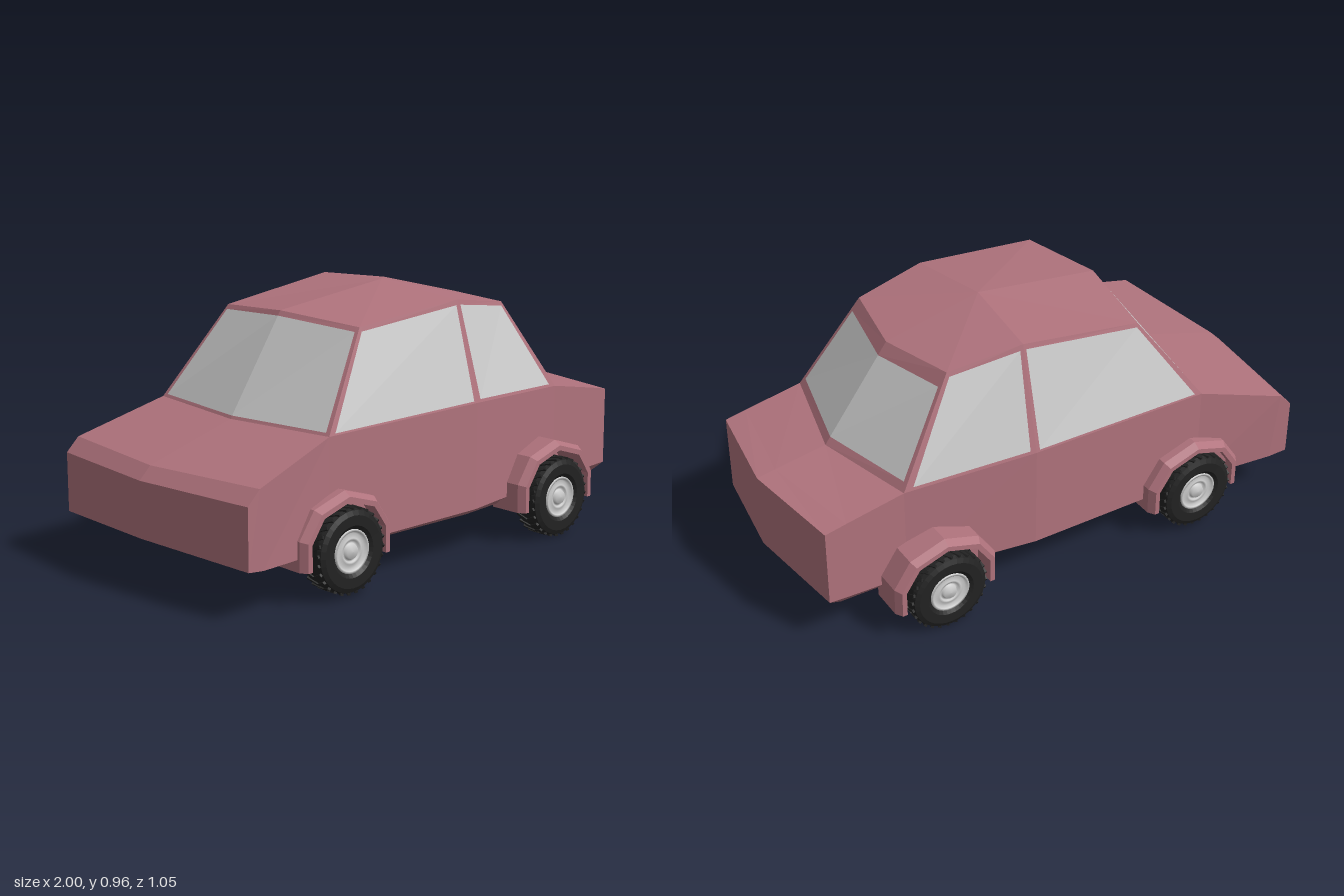
import * as THREE from 'three';

const paint = new THREE.MeshStandardMaterial({ color: 0xb0737d, flatShading: true });
const glass = new THREE.MeshStandardMaterial({ color: 0xcccccc, flatShading: true });
const rubber = new THREE.MeshStandardMaterial({ color: 0x222222, flatShading: true });
const metal = new THREE.MeshStandardMaterial({ color: 0xcccccc });

// Collects quads and triangles, optionally mirrored across z
class Faces {
  constructor() { this.pos = []; }
  add(pts, side = 1) {
    const p = side > 0 ? pts : [...pts].reverse();
    for (let i = 1; i < p.length - 1; i++)
      for (const q of [p[0], p[i], p[i + 1]]) this.pos.push(q[0], q[1], q[2] * side);
  }
  mesh(name, material) {
    const g = new THREE.BufferGeometry();
    g.setAttribute('position', new THREE.Float32BufferAttribute(this.pos, 3));
    g.computeVertexNormals();
    const m = new THREE.Mesh(g, material);
    m.name = name;
    return m;
  }
}

// Half sections from nose to tail: top centre, top edge, wall foot, floor edge, floor centre
const sections = [
  [[-1, .39, 0], [-.95, .39, .5], [-.95, .175, .5], [-.95, .175, .5], [-1, .19, 0]],
  [[-.955, .435, 0], [-.9, .44, .5], [-.88, .165, .49], [-.86, .15, .45], [-.86, .15, 0]],
  [[-.61, .54, 0], [-.56, .545, .45], [-.56, .16, .45], [-.56, .14, .41], [-.56, .14, 0]],
  [[.15, .555, 0], [.15, .555, .45], [.15, .165, .45], [.15, .135, .4], [.15, .13, 0]],
  [[.735, .537, 0], [.64, .54, .39], [.64, .18, .39], [.64, .14, .35], [.64, .135, 0]],
  [[.93, .508, 0], [.86, .502, .39], [.86, .19, .39], [.88, .145, .35], [.89, .145, 0]],
  [[1, .497, 0], [.94, .487, .39], [.94, .195, .39], [.94, .195, .39], [1, .213, 0]],
];

function makeBody() {
  const f = new Faces();
  for (const side of [1, -1]) {
    for (let i = 0; i < sections.length - 1; i++)
      for (let j = 0; j < 4; j++) {
        const a = sections[i], b = sections[i + 1];
        f.add([a[j + 1], b[j + 1], b[j], a[j]], side);
      }
    const n = sections[0], t = sections[sections.length - 1];
    f.add([n[4], n[2], n[1], n[0]], side);
    f.add([t[4], t[0], t[1], t[2]], side);
  }
  return f.mesh('body', paint);
}

// Cabin walls: each panel is a painted frame round one pane
function makeCabin() {
  const frame = new Faces(), panes = new Faces();
  const mix = (a, b, t) => a.map((v, i) => v + (b[i] - v) * t);
  const panel = ([a, b, c, d], [u0, u1, v0, v1], side) => {
    const us = [0, u0, u1, 1], vs = [0, v0, v1, 1];
    const at = (i, j) => mix(mix(a, b, us[i]), mix(d, c, us[i]), vs[j]);
    for (let i = 0; i < 3; i++)
      for (let j = 0; j < 3; j++) {
        if (us[i] === us[i + 1]) continue;
        (i === 1 && j === 1 ? panes : frame)
          .add([at(i, j), at(i + 1, j), at(i + 1, j + 1), at(i, j + 1)], side);
      }
  };
  const insets = [[0, .96, .03, .95], [.035, .98, .02, .95], [.045, .94, .03, .95], [.045, 1, .08, .87]];
  const crown = [.11, .957, 0];
  for (const side of [1, -1]) {
    const belt = [2, 3, 4].map(i => sections[i][1]);
    const low = [sections[2][0], ...belt, sections[4][0]];
    const lift = side > 0 ? 0 : .028;
    const high = [[-.38, .893, 0], [-.33, .87, .35], [.145, .915 + lift, .35], [.42, .875 + lift, .31], [.48, .877, 0]];
    for (let i = 0; i < 4; i++) {
      panel([low[i], low[i + 1], high[i + 1], high[i]], insets[i], side);
      frame.add([high[i], high[i + 1], crown], side);
    }
  }
  const g = new THREE.Group();
  g.name = 'cabin';
  g.add(frame.mesh('roofAndPillars', paint), panes.mesh('windows', glass));
  return g;
}

// Faceted flare swept over the wheel
function makeArch(side) {
  const f = new Faces();
  const path = [[-.2, -.035], [-.2, .07], [-.135, .165], [0, .208], [.135, .165], [.2, .07], [.2, -.035]];
  const rings = path.map(([x, y]) =>
    [[1, .36], [1, .48], [.92, .507], [.83, .507], [.83, .36]]
      .map(([s, z]) => [x * s, y < 0 ? y : y * s, z]));
  for (let i = 0; i < rings.length - 1; i++)
    for (let j = 0; j < 5; j++) {
      const a = rings[i], b = rings[i + 1], k = (j + 1) % 5;
      f.add([a[j], a[k], b[k], b[j]], side);
    }
  f.add([...rings[0]].reverse(), side);
  f.add(rings[rings.length - 1], side);
  return f.mesh('wheelArch', paint);
}

// Wheel with its axis on z, outer side towards +z
function makeWheel() {
  const g = new THREE.Group();
  g.name = 'wheel';
  const lathe = (name, pts, mat, seg) => {
    const geo = new THREE.LatheGeometry(pts.map(p => new THREE.Vector2(...p)), seg);
    const m = new THREE.Mesh(geo.rotateX(Math.PI / 2), mat);
    m.name = name;
    g.add(m);
  };
  lathe('tyre', [[.074, -.04], [.09, -.052], [.125, -.053], [.141, -.045], [.146, -.03], [.146, .03],
    [.141, .045], [.125, .053], [.09, .052], [.074, .04], [.074, -.04]], rubber, 32);
  lathe('hub', [[0, -.035], [.07, -.035], [.076, -.044], [.078, -.03], [.078, .03], [.076, .046], [.068, .046],
    [.062, .034], [.045, .042], [.038, .042], [.036, .036], [.028, .036], [.024, .048], [0, .05]], metal, 32);

  // Chevron tread
  const lug = new THREE.BoxGeometry(.011, .008, .048);
  for (let i = 0; i < 28; i++) {
    const spoke = new THREE.Group();
    spoke.name = 'tread';
    spoke.rotation.z = i / 28 * Math.PI * 2;
    for (const s of [1, -1]) {
      const m = new THREE.Mesh(lug, rubber);
      m.name = 'treadLug';
      m.position.set(0, .146, s * .021);
      m.rotation.y = s * .5;
      spoke.add(m);
    }
    g.add(spoke);
  }
  return g;
}

export function createModel() {
  const car = new THREE.Group();
  car.name = 'car';
  car.add(makeBody(), makeCabin());
  for (const [x, y, z, label] of [[-.52, .16, .472, 'front'], [.54, .15, .468, 'rear']])
    for (const side of [1, -1]) {
      const arch = makeArch(side);
      arch.name = label + 'WheelArch';
      arch.position.set(x, .155, 0);
      const wheel = makeWheel();
      wheel.name = label + 'Wheel';
      wheel.position.set(x, y, z * side);
      if (side < 0) wheel.rotation.y = Math.PI;
      car.add(arch, wheel);
    }
  return car;
}
